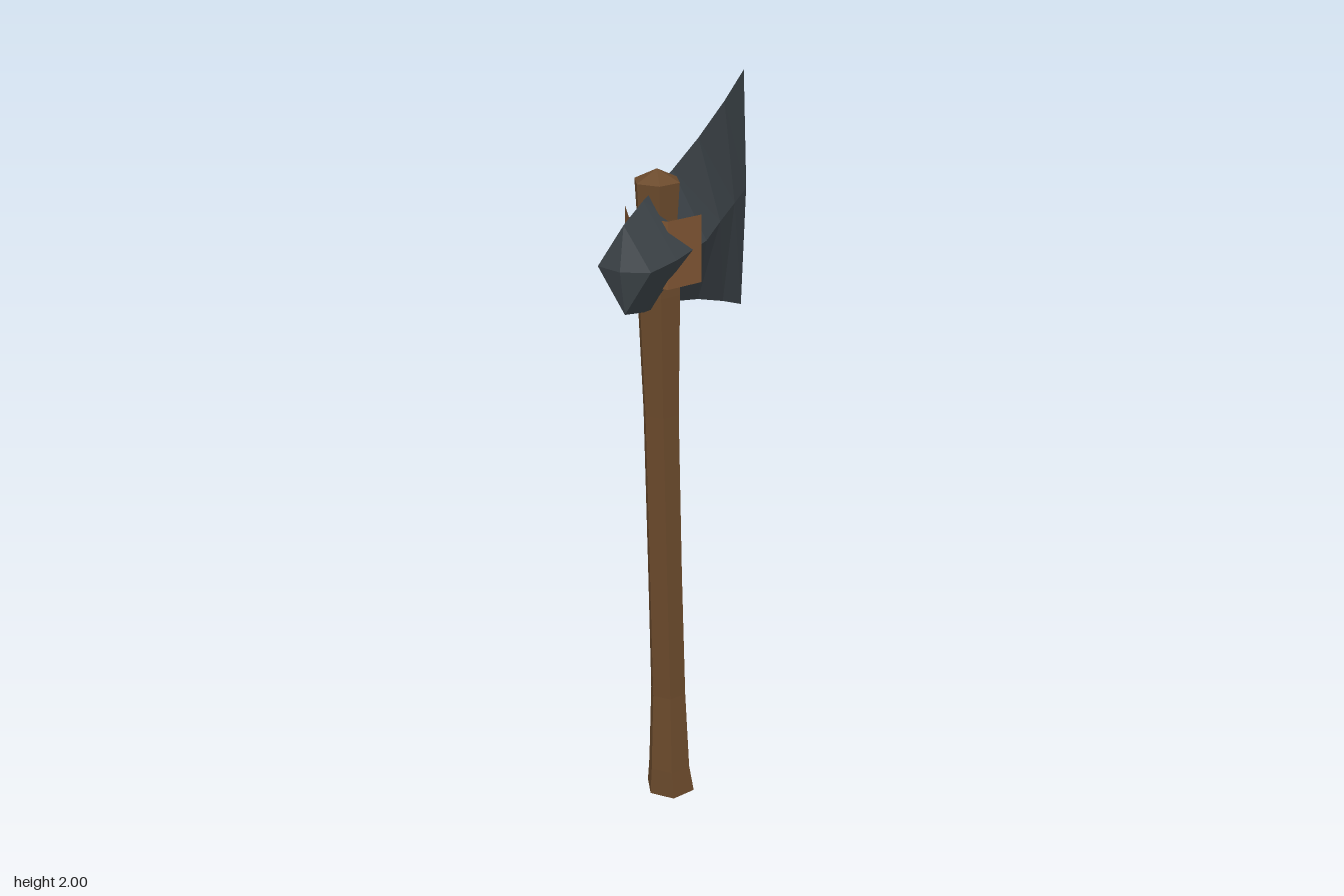
import * as THREE from 'three';

const material = (color) => new THREE.MeshStandardMaterial({ color, flatShading: true });

// Faceted solid through rings of points, closed by a point at each end.
// Rings run counter-clockwise when seen from the end.
function loft(start, rings, end) {
  const pos = [];
  const tri = (...pts) => pts.forEach((p) => pos.push(...p));
  const n = rings[0].length;
  const last = rings.length - 1;
  for (let j = 0; j < n; j++) {
    const k = (j + 1) % n;
    tri(start, rings[0][k], rings[0][j]);
    for (let i = 0; i < last; i++) {
      const a = rings[i], b = rings[i + 1];
      tri(a[j], a[k], b[k]);
      tri(a[j], b[k], b[j]);
    }
    tri(rings[last][j], rings[last][k], end);
  }
  const geometry = new THREE.BufferGeometry();
  geometry.setAttribute('position', new THREE.Float32BufferAttribute(pos, 3));
  geometry.computeVertexNormals();
  return geometry;
}

export function createModel() {
  const axe = new THREE.Group();
  axe.name = 'axe';
  const add = (name, geometry, color) => {
    const mesh = new THREE.Mesh(geometry, material(color));
    mesh.name = name;
    axe.add(mesh);
    return mesh;
  };

  // Six-sided handle, gently curved: height, centre z, radius
  const handleRings = [
    [0.035, 0.128, 0.072],
    [0.12, 0.138, 0.062],
    [0.36, 0.143, 0.052],
    [0.75, 0.161, 0.05],
    [1.22, 0.18, 0.05],
    [1.55, 0.191, 0.059],
    [1.75, 0.197, 0.055],
    [1.84, 0.196, 0.061],
  ].map(([y, z, r]) => Array.from({ length: 6 }, (_, i) => {
    const a = (i * Math.PI) / 3;
    return [r * Math.cos(a), y, z - r * Math.sin(a)];
  }));
  add('handle', loft([0, 0, 0.13], handleRings, [0, 1.87, 0.196]), 0x6b4a2c);

  // Head with diamond sections, from cutting edge to hammer end:
  // z, half width, top, bottom
  const mid = 1.67;
  const headRings = [
    [-0.39, 0.008, 2.0, 1.335],
    [-0.25, 0.032, 1.944, 1.388],
    [-0.07, 0.062, 1.886, 1.45],
    [0.1, 0.093, 1.843, 1.497],
    [0.28, 0.088, 1.81, 1.525],
    [0.395, 0.07, 1.78, 1.555],
  ].map(([z, w, top, bottom]) => [[w, mid, z], [0, top, z], [-w, mid, z], [0, bottom, z]]);
  add('head', loft([0, mid, -0.42], headRings, [0, mid, 0.42]), 0x3c4348);

  // Open six-sided collar around handle and head, corners pointing sideways
  const collarShape = new THREE.CylinderGeometry(0.104, 0.104, 0.175, 6, 1, true);
  collarShape.rotateY(Math.PI / 2);
  add('collar', collarShape, 0x7d5432).position.set(0, 1.668, 0.16);

  return axe;
}
